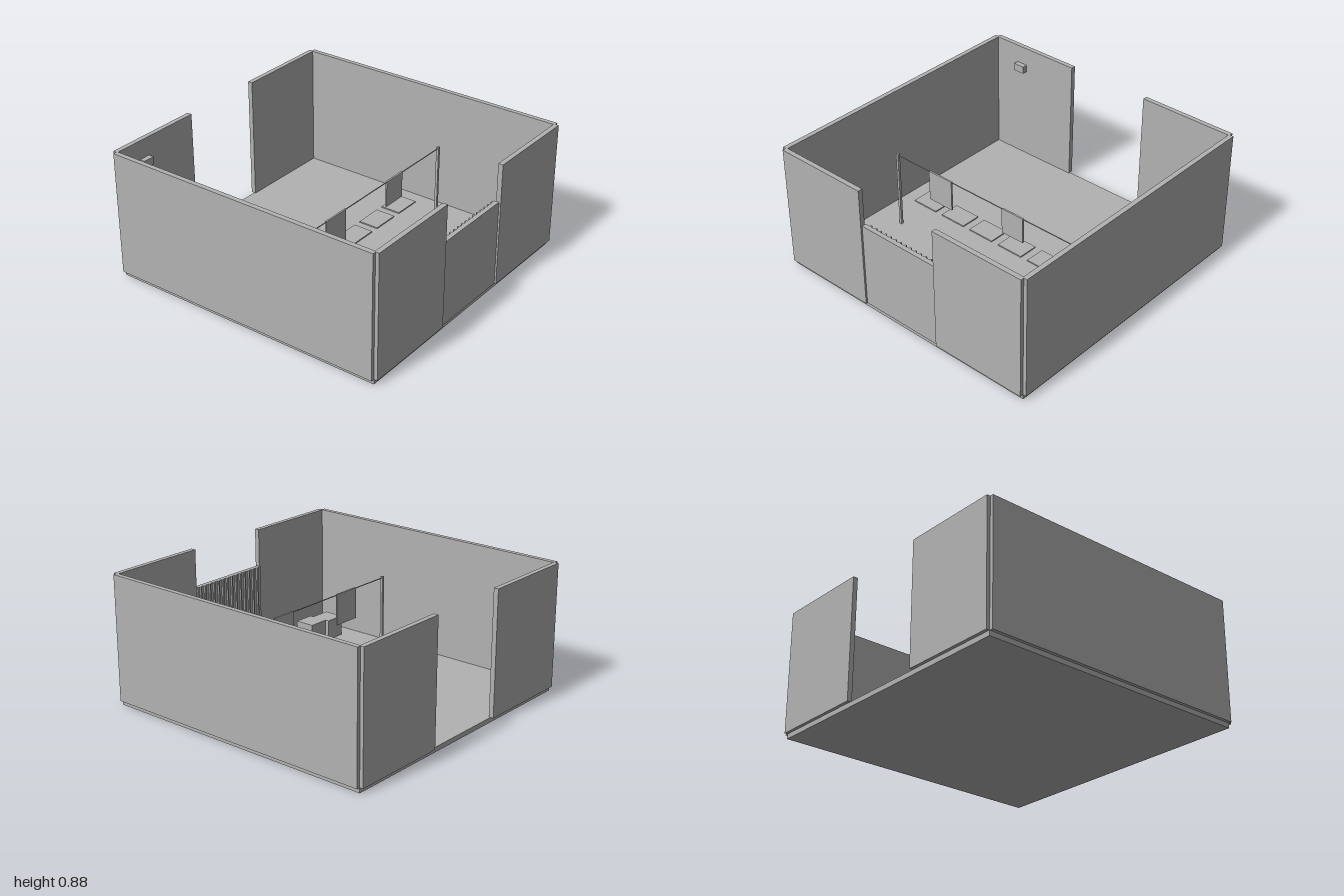
import * as THREE from 'three';

export function createModel() {
  const model = new THREE.Group();
  const grey = new THREE.MeshStandardMaterial({ color: 0xb2b2b2 });
  grey.name = 'plain grey';

  // Box given by its lower and upper bounds on each axis
  const box = (name, [x0, x1], [y0, y1], [z0, z1]) => {
    const mesh = new THREE.Mesh(new THREE.BoxGeometry(x1 - x0, y1 - y0, z1 - z0), grey);
    mesh.position.set((x0 + x1) / 2, (y0 + y1) / 2, (z0 + z1) / 2);
    mesh.name = name;
    model.add(mesh);
    return mesh;
  };

  const floorY = 0.033, wallY = [floorY, 0.88];

  box('floor', [-0.978, 0.978], [0, floorY], [-0.978, 0.978]);

  // Side walls, and split front and back walls around the openings
  box('leftWall', [0.967, 1], wallY, [-0.976, 0.976]);
  box('rightWall', [-1, -0.967], wallY, [-0.976, 0.976]);
  for (const x of [[-0.976, -0.302], [0.302, 0.976]]) {
    box('frontWall', x, wallY, [0.967, 1]);
    box('backWall', x, wallY, [-1, -0.967]);
  }

  // Low gate in the front opening, ribbed on its inside
  box('gate', [-0.302, 0.302], [floorY, 0.62], [0.957, 0.988]);
  for (let i = 0; i < 14; i++) {
    const x = -0.264 + i * 0.0418;
    box('gateRib', [x - 0.006, x + 0.006], [floorY, 0.62], [0.945, 0.957]);
  }

  // Line strung between two posts, with two hanging cloths
  const lineZ = 0.245;
  for (const x of [-0.753, 0.753])
    box('linePost', [x - 0.009, x + 0.009], [floorY, 0.585], [lineZ - 0.009, lineZ + 0.009]);
  box('line', [-0.753, 0.753], [0.572, 0.577], [lineZ - 0.0025, lineZ + 0.0025]);
  box('wideCloth', [-0.465, -0.27], [0.365, 0.58], [lineZ - 0.006, lineZ + 0.006]);
  box('narrowCloth', [0.16, 0.332], [0.4, 0.58], [lineZ - 0.006, lineZ + 0.006]);

  // Crates in the front corners
  const crateY = [floorY, 0.175];
  box('crate', [0.722, 0.864], crateY, [0.683, 0.823]);
  box('crate', [-0.842, -0.7], crateY, [0.683, 0.823]);
  box('crate', [-0.7, -0.556], crateY, [0.71, 0.85]);

  // Row of thin mats across the floor
  for (let i = -3; i <= 3; i++) {
    const x = i * 0.256;
    box('mat', [x - 0.1, x + 0.1], [floorY, 0.041], [-0.143, 0.002]);
  }

  // Small box fixed high on the back wall
  box('wallBox', [-0.787, -0.705], [0.7, 0.752], [-0.97, -0.93]);

  return model;
}
